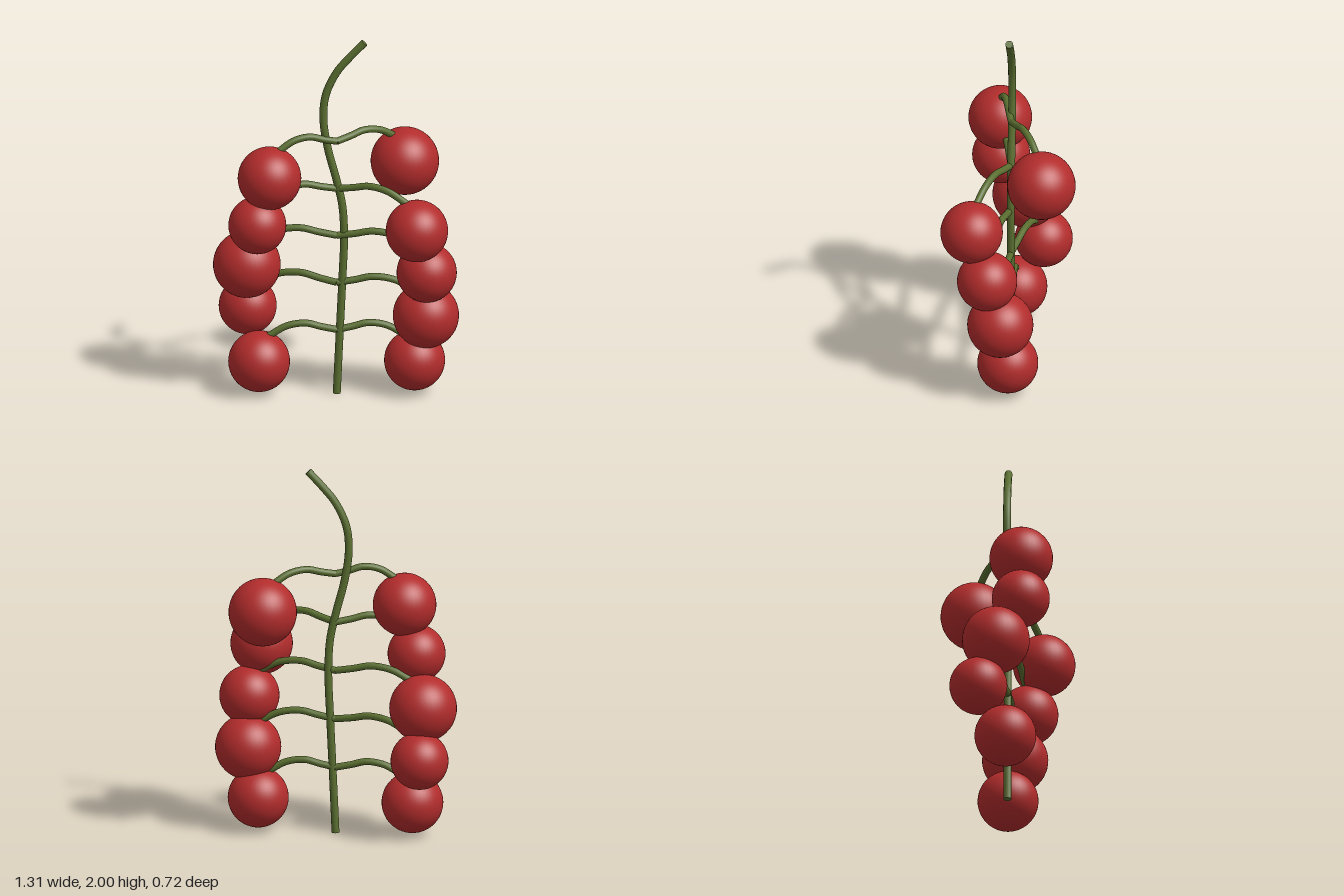
import * as THREE from 'three';

const stemGreen = new THREE.MeshStandardMaterial({ name: 'stem green', color: 0x5a6e30 });
const berryRed = new THREE.MeshStandardMaterial({ name: 'berry red', color: 0xb22c2c });

const STEM_Z = 0.012;

// Round stalk along a smooth path, closed at both ends
function stalk(name, points, radius, segments) {
  const curve = new THREE.CatmullRomCurve3(points);
  const group = new THREE.Group();
  group.name = name;
  const tube = new THREE.Mesh(new THREE.TubeGeometry(curve, segments, radius, 12), stemGreen);
  tube.name = name + 'Tube';
  group.add(tube);
  for (const t of [0, 1]) {
    const cap = new THREE.Mesh(new THREE.CircleGeometry(radius, 12), stemGreen);
    cap.name = name + 'Cap';
    const outward = curve.getTangentAt(t).multiplyScalar(t ? 1 : -1);
    cap.quaternion.setFromUnitVectors(new THREE.Vector3(0, 0, 1), outward);
    cap.position.copy(curve.getPointAt(t));
    group.add(cap);
  }
  return group;
}

// Berries from top to bottom on each side: x, z, radius
const rightBerries = [
  [-0.36, 0.098, 0.17], [-0.425, 0.098, 0.155], [-0.48, -0.033, 0.181],
  [-0.475, -0.127, 0.155], [-0.415, 0.015, 0.165],
];
const leftBerries = [
  [0.365, -0.176, 0.183], [0.427, 0.193, 0.167], [0.48, 0.106, 0.161],
  [0.476, 0.036, 0.177], [0.416, 0, 0.163],
];

// Side stalk profile: fraction of the way to the berry, height above its root
const archProfile = [[0, 0], [0.2, 0.017], [0.4, 0.037], [0.64, 0.022], [0.88, -0.035]];

export function createModel() {
  const model = new THREE.Group();
  model.name = 'berryCluster';

  // Wavy main stem
  const stemPath = [
    [0, 0], [0.015, 0.33], [0.03, 0.65], [0.039, 0.89], [0.03, 1.06], [0.001, 1.2],
    [-0.048, 1.39], [-0.071, 1.55], [-0.059, 1.69], [0, 1.82], [0.07, 1.905], [0.148, 1.987],
  ].map(([x, y]) => new THREE.Vector3(x, y, STEM_Z));
  model.add(stalk('mainStem', stemPath, 0.021, 80));

  // Five tiers of arched side stalks with a berry on each end
  for (const [side, berries] of [['right', rightBerries], ['left', leftBerries]]) {
    berries.forEach(([x, z, radius], tier) => {
      const berryY = 1.25 - tier * 0.267;
      const path = archProfile.map(([f, h]) => new THREE.Vector3(
        x * f, berryY + 0.178 + h, STEM_Z + (z - STEM_Z) * f));
      model.add(stalk(side + 'SideStalk' + (tier + 1), path, 0.019, 24));

      const berry = new THREE.Mesh(new THREE.SphereGeometry(radius, 40, 28), berryRed);
      berry.name = side + 'Berry' + (tier + 1);
      berry.position.set(x, berryY, z);
      model.add(berry);
    });
  }
  return model;
}
